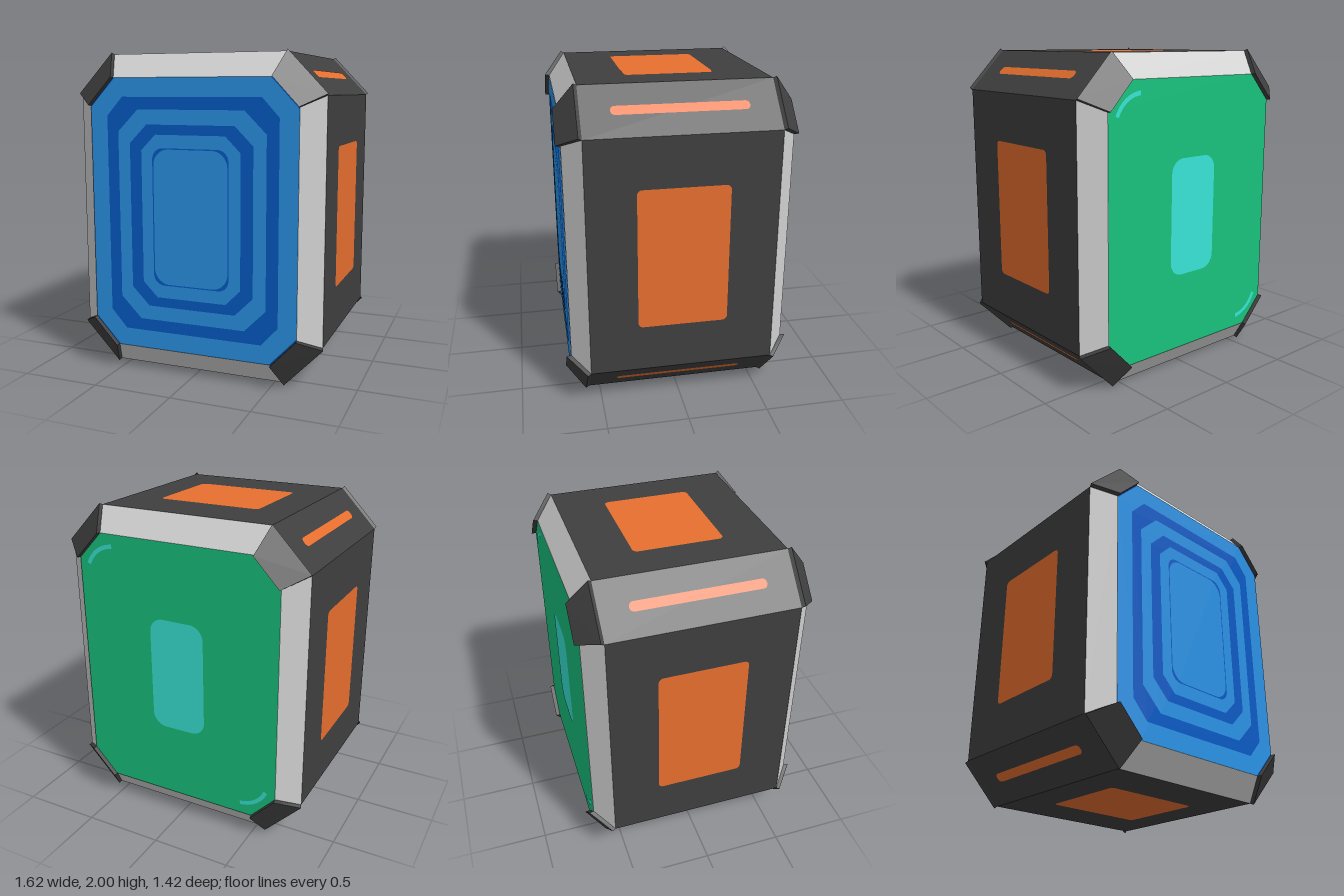
import * as THREE from 'three';
import { ConvexGeometry } from 'three/addons/geometries/ConvexGeometry.js';

const material = (name, color) => {
  const m = new THREE.MeshStandardMaterial({ color });
  m.name = name;
  return m;
};

// Corners of a rectangle with cut corners, counter-clockwise
function octagon(hx, hy, cx, cy) {
  return [
    [hx, -hy + cy], [hx, hy - cy], [hx - cx, hy], [-hx + cx, hy],
    [-hx, hy - cy], [-hx, -hy + cy], [-hx + cx, -hy], [hx - cx, -hy],
  ];
}

function octagonShape(hx, hy, cx, cy = cx) {
  return new THREE.Shape(octagon(hx, hy, cx, cy).map(p => new THREE.Vector2(...p)));
}

function roundedShape(hx, hy, r) {
  const s = new THREE.Shape();
  s.absarc(hx - r, hy - r, r, 0, Math.PI / 2);
  s.absarc(-hx + r, hy - r, r, Math.PI / 2, Math.PI);
  s.absarc(-hx + r, -hy + r, r, Math.PI, Math.PI * 1.5);
  s.absarc(hx - r, -hy + r, r, Math.PI * 1.5, Math.PI * 2);
  s.closePath();
  return s;
}

// Flat painted detail, lifted just off the surface
const decal = (shape, lift = 0.0015) => new THREE.ShapeGeometry(shape, 8).translate(0, 0, lift);

export function createModel() {
  const dark = material('charcoal', 0x3f3f3f);
  const grey = material('light grey', 0xd2d2d2);
  const orange = material('orange', 0xea702f);
  const blue = material('light blue', 0x2891e4);
  const navy = material('deep blue', 0x0359c4);
  const green = material('green', 0x18c27c);
  const teal = material('teal', 0x38e4d6);

  const model = new THREE.Group();
  const lantern = new THREE.Group();
  lantern.name = 'lantern';
  lantern.position.y = 1;
  model.add(lantern);

  const add = (name, geometry, mat, parent = lantern) => {
    const mesh = new THREE.Mesh(geometry, mat);
    mesh.name = name;
    parent.add(mesh);
    return mesh;
  };

  // Octagonal casing
  const bodyZ = 0.57, faceZ = 0.68;
  const outer = octagon(0.8, 0.99, 0.24, 0.25);
  const inner = octagon(0.67, 0.845, 0.16, 0.17);
  const casing = new THREE.ExtrudeGeometry(octagonShape(0.8, 0.99, 0.24, 0.25), { depth: bodyZ * 2, bevelEnabled: false });
  add('casing', casing, dark).position.z = -bodyZ;

  // Sloping rims and the raised corner brackets, front and back
  for (const side of [1, -1]) {
    const rim = [
      ...outer.map(([x, y]) => new THREE.Vector3(x, y, side * bodyZ)),
      ...inner.map(([x, y]) => new THREE.Vector3(x, y, side * faceZ)),
    ];
    add(side > 0 ? 'frontRim' : 'backRim', new ConvexGeometry(rim), grey);

    for (const i of [1, 3, 5, 7]) {
      const points = [];
      for (const k of [i, (i + 1) % 8]) {
        const [ox, oy] = outer[k], [ix, iy] = inner[k];
        const sx = Math.sign(ox), sy = Math.sign(oy);
        points.push(
          new THREE.Vector3(ox, oy, side * bodyZ),
          new THREE.Vector3(ox + sx * 0.008, oy + sy * 0.01, side * (bodyZ + 0.02)),
          new THREE.Vector3(ix, iy, side * faceZ),
          new THREE.Vector3(ix + sx * 0.003, iy + sy * 0.003, side * 0.71),
        );
      }
      add('cornerBracket', new ConvexGeometry(points), dark);
    }
  }

  // Front face: nested bands of two blues, with a fine outline in the middle
  const front = new THREE.Group();
  front.name = 'frontFace';
  front.position.z = faceZ;
  lantern.add(front);
  const outline = roundedShape(0.248, 0.425, 0.07);
  outline.holes.push(roundedShape(0.241, 0.418, 0.1));
  const bands = [
    [octagonShape(0.67, 0.845, 0.16, 0.17), navy],
    [octagonShape(0.67, 0.845, 0.17, 0.18), blue],
    [octagonShape(0.555, 0.73, 0.105, 0.115), navy],
    [octagonShape(0.48, 0.655, 0.135), blue],
    [octagonShape(0.4, 0.565, 0.115), navy],
    [octagonShape(0.322, 0.505, 0.095), blue],
    [outline, navy],
  ];
  bands.forEach(([shape, mat], i) => add('frontBand', decal(shape, (i + 1) * 0.0015), mat, front));

  // Back face: green panel with a small window and two glints
  const back = new THREE.Group();
  back.name = 'backFace';
  back.position.z = -faceZ;
  back.rotation.y = Math.PI;
  lantern.add(back);
  add('backPanel', decal(octagonShape(0.67, 0.845, 0.16, 0.17)), green, back);
  add('backWindow', decal(roundedShape(0.182, 0.365, 0.09), 0.003), teal, back);
  for (const s of [1, -1]) {
    const start = Math.PI * (s > 0 ? 0.52 : 1.52);
    const arc = new THREE.RingGeometry(0.187, 0.213, 16, 1, start, Math.PI * 0.36);
    add('glint', arc, teal, back).position.set(-s * 0.42, s * 0.57, 0.003);
  }

  // Orange panels around the sides; each is laid out flat, then turned about z
  const sidePanel = (name, shape, x, y, angle) => {
    const mesh = add(name, decal(shape).rotateY(Math.PI / 2), orange);
    mesh.position.set(x, y, 0);
    mesh.rotation.z = angle;
  };
  for (const s of [1, -1]) {
    sidePanel('sidePanel', roundedShape(0.275, 0.44, 0.03), s * 0.8, -0.006, s > 0 ? 0 : Math.PI);
    sidePanel('endPanel', roundedShape(0.273, 0.335, 0.03), 0, s * 0.99, s * Math.PI / 2);
    // Narrow slots along the cut edges
    for (const t of [1, -1]) {
      sidePanel('edgeSlot', roundedShape(0.4, 0.029, 0.027), s * 0.68, t * 0.865, Math.atan2(t * 0.24, s * 0.25));
    }
  }
  return model;
}
